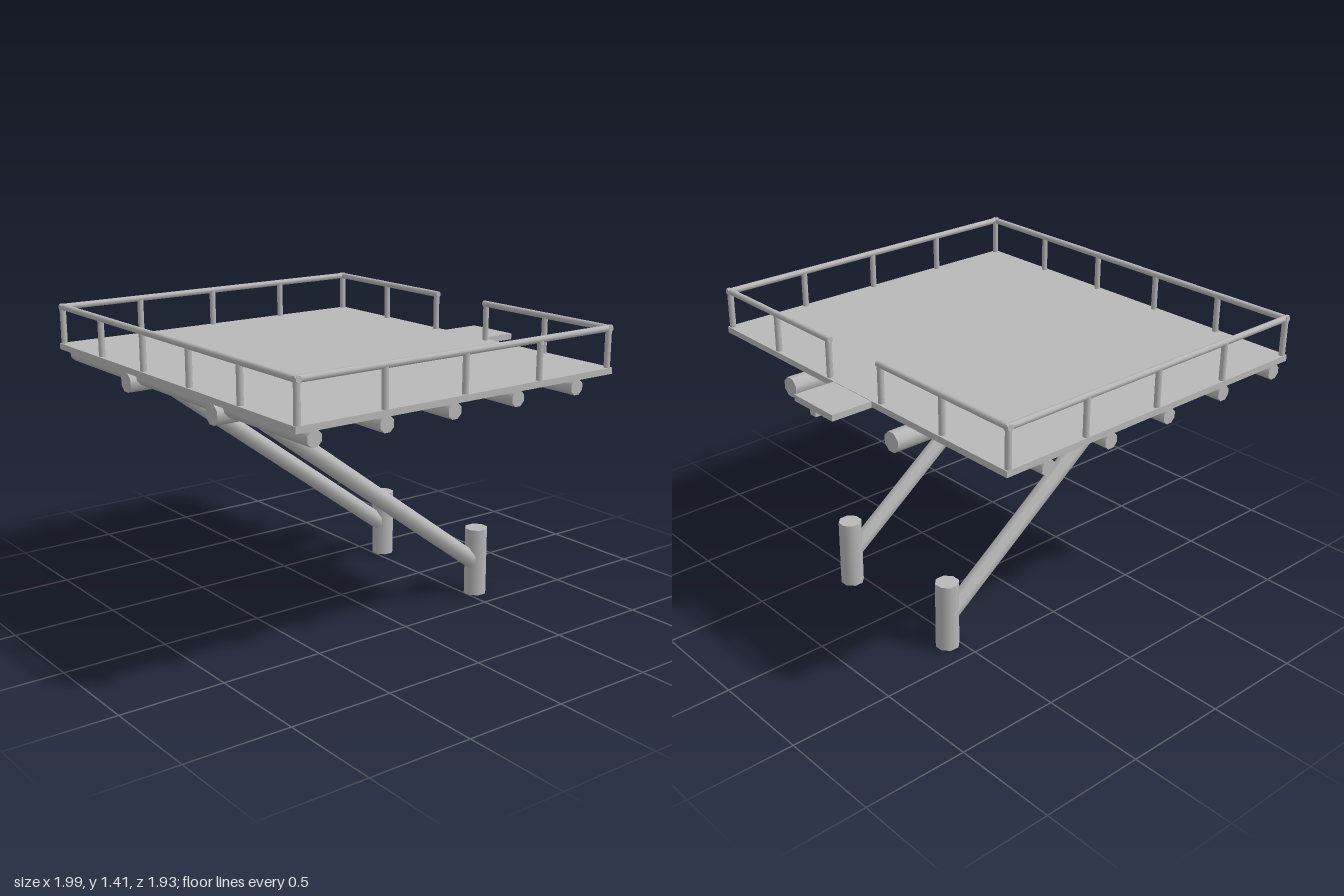
import * as THREE from 'three';

export function createModel() {
  const root = new THREE.Group();
  root.name = 'raisedPlatform';
  const grey = new THREE.MeshStandardMaterial({ color: 0xb8b8b8 });
  grey.name = 'plainGrey';

  const UP = new THREE.Vector3(0, 1, 0);
  // Round bar running between two points
  function bar(name, from, to, radius, sides = 8) {
    const a = new THREE.Vector3(...from), b = new THREE.Vector3(...to);
    const dir = b.clone().sub(a);
    const geo = new THREE.CylinderGeometry(radius, radius, dir.length(), sides);
    geo.rotateY(Math.PI / sides);
    const mesh = new THREE.Mesh(geo, grey);
    mesh.name = name;
    mesh.position.copy(a).add(b).multiplyScalar(0.5);
    mesh.quaternion.setFromUnitVectors(UP, dir.normalize());
    root.add(mesh);
  }
  // Box given by its low and high corners
  function slab(name, lo, hi) {
    const mesh = new THREE.Mesh(new THREE.BoxGeometry(...hi.map((v, i) => v - lo[i])), grey);
    mesh.name = name;
    mesh.position.set(...hi.map((v, i) => (v + lo[i]) / 2));
    root.add(mesh);
  }

  // Deck, rear step and the bearer under the step
  slab('deck', [-0.995, 1.198, -0.765], [0.995, 1.227, 0.963]);
  slab('rearStep', [-0.14, 1.195, -0.97], [0.135, 1.225, -0.765]);
  slab('stepBearer', [-0.02, 1.172, -0.97], [0.02, 1.196, -0.66]);

  // Joists across the underside
  for (const z of [0.875, 0.522, 0.167, -0.188, -0.543]) {
    bar('joist', [-0.995, 1.167, z], [0.995, 1.167, z], 0.037);
  }

  // Main beams, braces and uprights, mirrored left and right
  for (const x of [-0.37, 0.365]) {
    bar('mainBeam', [x, 1.143, -0.84], [x, 1.143, 0.943], 0.048);
    bar('brace', [x, 0.17, -0.54], [x, 1.135, 0.762], 0.043);
    bar('upright', [x, 0.005, -0.555], [x, 0.343, -0.553], 0.057);
  }

  // Railing with a gap at the rear
  const railY = 1.405, floorY = 1.222, r = 0.015;
  const side = 0.98, front = 0.945, back = -0.745, gap = 0.185;
  const post = (x, z) => bar('railPost', [x, floorY, z], [x, railY, z], r);
  bar('frontRail', [-side - r, railY, front], [side + r, railY, front], r);
  for (let i = 0; i < 6; i++) post(-side + (i * 2 * side) / 5, front);
  for (const s of [-1, 1]) {
    bar('sideRail', [s * side, railY, back - r], [s * side, railY, front + r], r);
    bar('rearRail', [s * (side + r), railY, back], [s * (gap - r), railY, back], r);
    for (let i = 0; i < 4; i++) post(s * side, back + (i * (front - back)) / 4);
    for (const x of [gap, 0.585]) post(s * x, back);
  }
  return root;
}
